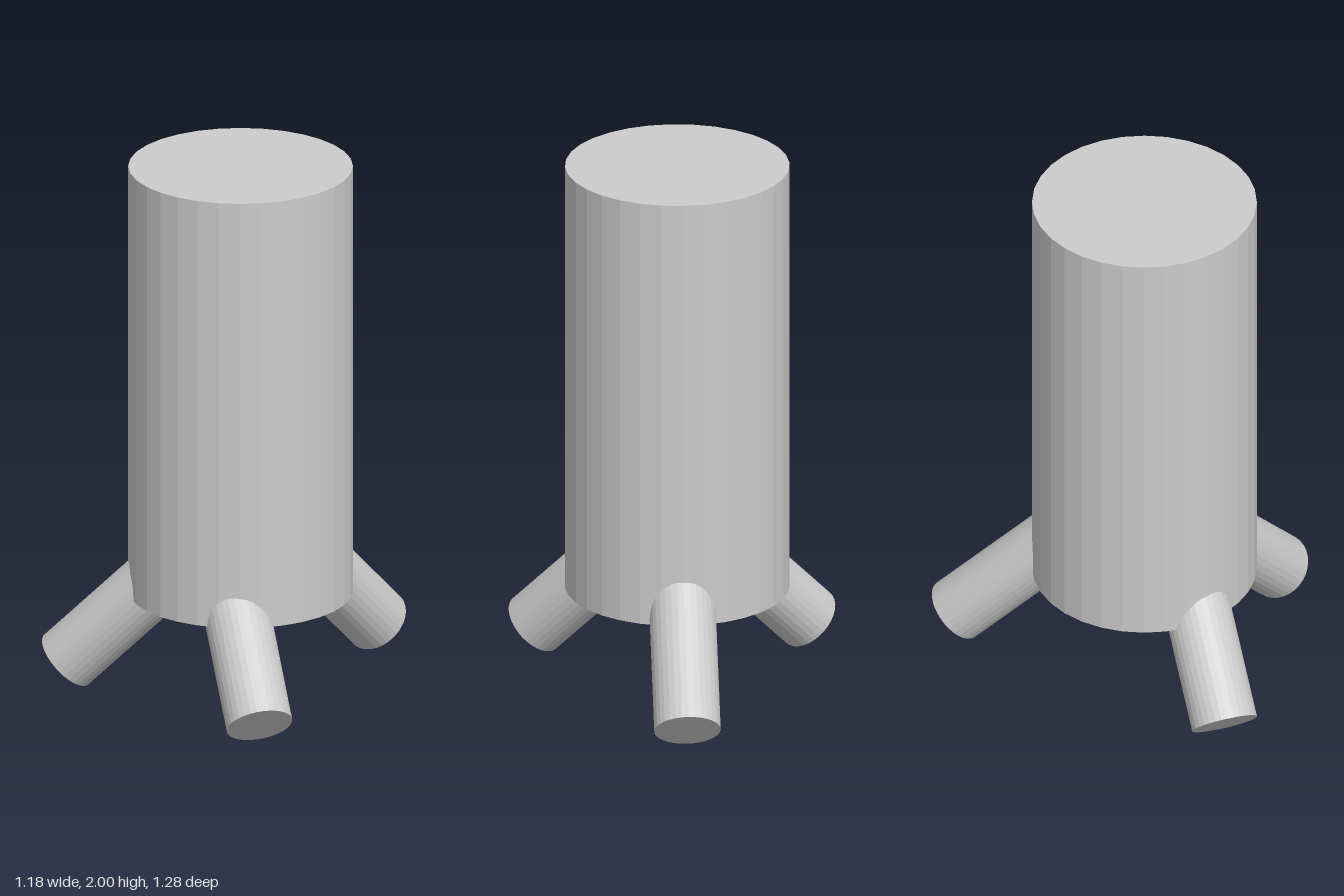
import * as THREE from 'three';

const material = new THREE.MeshStandardMaterial({ color: 0xcccccc, flatShading: true });

// A leg rises at 45 degrees from its foot towards the inside of the body.
function makeLeg(name, foot, outward) {
  const length = 0.75;
  const axis = new THREE.Vector3(-outward[0], 1, -outward[1]).normalize();
  const leg = new THREE.Mesh(new THREE.CylinderGeometry(0.12, 0.12, length, 32), material);
  leg.name = name;
  leg.quaternion.setFromUnitVectors(new THREE.Vector3(0, 1, 0), axis);
  leg.position.set(...foot).addScaledVector(axis, length / 2);
  return leg;
}

export function createModel() {
  const model = new THREE.Group();
  model.name = 'threeLeggedCylinder';

  // Upright body
  const bottom = 0.376, top = 2;
  const body = new THREE.Mesh(new THREE.CylinderGeometry(0.405, 0.405, top - bottom, 32), material);
  body.name = 'body';
  body.position.set(0, (top + bottom) / 2, 0.136);
  model.add(body);

  // Front pair of legs, mirrored, and the back leg
  const c = Math.cos(Math.PI / 6);
  for (const [side, s] of [['Left', 1], ['Right', -1]]) {
    model.add(makeLeg('front' + side + 'Leg', [s * 0.494, 0.085, 0.53], [s * c, 0.5]));
  }
  model.add(makeLeg('backLeg', [0, 0.085, -0.557], [0, -1]));

  return model;
}
